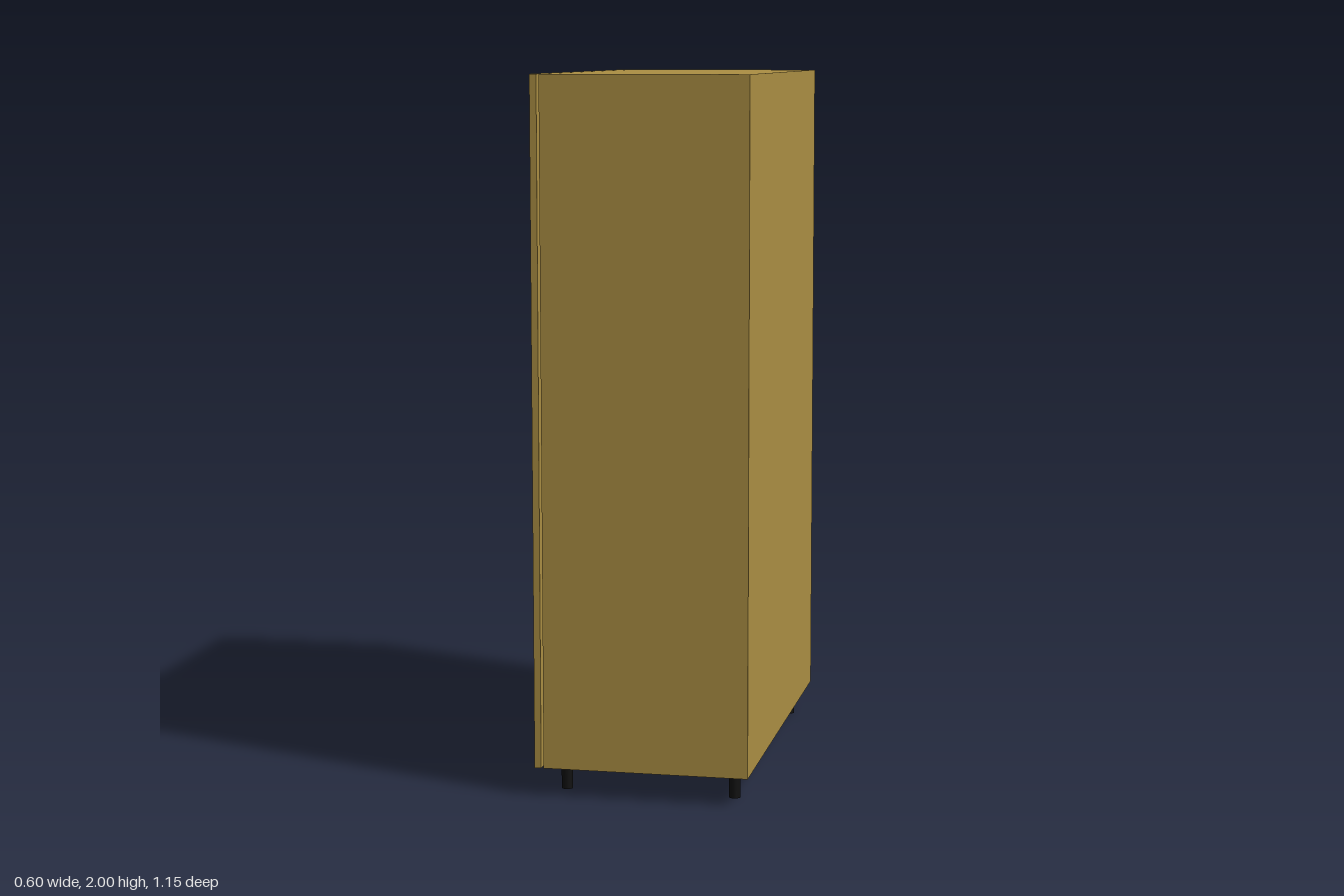
import * as THREE from 'three';

const brown = new THREE.MeshStandardMaterial({ color: 0xac8f43 });
const black = new THREE.MeshStandardMaterial({ color: 0x111111 });
const grey = new THREE.MeshStandardMaterial({ color: 0xcccccc });

const BOTTOM = 0.08, TOP = 2, HALF_DEPTH = 0.577;
const HEIGHT = TOP - BOTTOM;

// Clockwise or counter-clockwise rectangle traced onto a Shape or Path
function rect(path, x0, y0, x1, y1) {
  path.moveTo(x0, y0);
  path.lineTo(x1, y0);
  path.lineTo(x1, y1);
  path.lineTo(x0, y1);
  path.closePath();
  return path;
}

export function createModel() {
  const model = new THREE.Group();
  model.name = 'cabinet';

  const add = (name, geometry, material, x, y, z) => {
    const mesh = new THREE.Mesh(geometry, material);
    mesh.name = name;
    mesh.position.set(x, y, z);
    model.add(mesh);
    return mesh;
  };

  // Cabinet body
  add('body', new THREE.BoxGeometry(0.577, HEIGHT, 2 * HALF_DEPTH), brown,
    0.0125, BOTTOM + HEIGHT / 2, 0);

  // Door panel on the -x side with two window openings
  const win = { inner: 0.095, outer: 0.48, bottom: 0.72, top: 1.68 };
  const outline = rect(new THREE.Shape(), -HALF_DEPTH, BOTTOM, HALF_DEPTH, TOP);
  for (const s of [-1, 1]) {
    outline.holes.push(rect(new THREE.Path(), s * win.inner, win.bottom, s * win.outer, win.top));
  }
  const panel = add('doorPanel',
    new THREE.ExtrudeGeometry(outline, { depth: 0.019, bevelEnabled: false }), brown, -0.283, 0, 0);
  panel.rotation.y = -Math.PI / 2;

  // Window panes, set back in their openings
  for (const s of [-1, 1]) {
    add(s > 0 ? 'frontWindow' : 'backWindow',
      new THREE.BoxGeometry(0.006, win.top - win.bottom, win.outer - win.inner), grey,
      -0.2895, (win.top + win.bottom) / 2, s * (win.inner + win.outer) / 2);
  }

  // Four round legs
  const legGeometry = new THREE.CylinderGeometry(0.016, 0.016, BOTTOM, 24);
  for (const x of [-0.232, 0.248]) {
    for (const z of [-0.48, 0.48]) {
      add((z > 0 ? 'front' : 'back') + (x > 0 ? 'Left' : 'Right') + 'Leg',
        legGeometry, black, x, BOTTOM / 2, z);
    }
  }

  return model;
}
